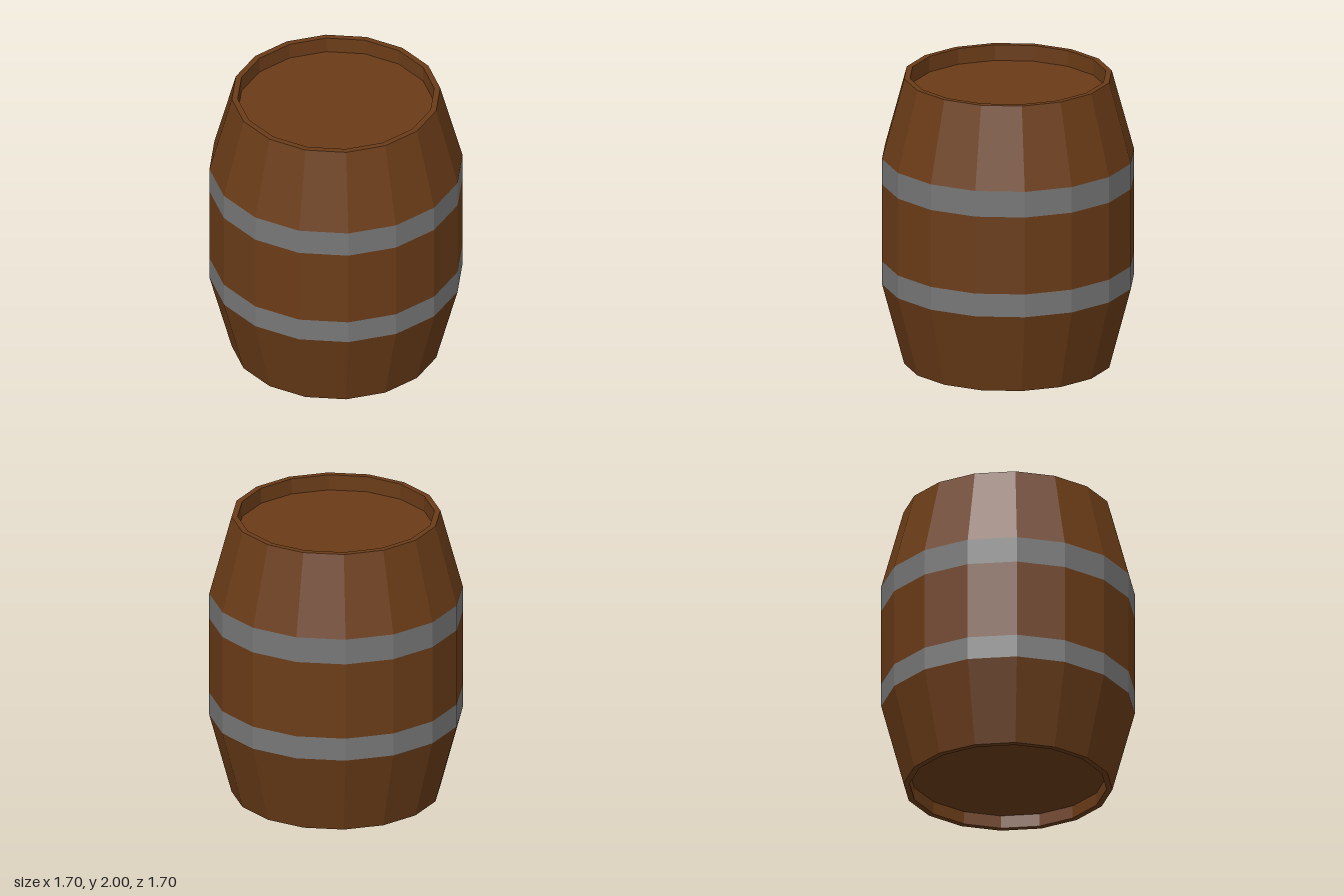
import * as THREE from 'three';

const SIDES = 16;

export function createModel() {
  const barrel = new THREE.Group();
  barrel.name = 'barrel';

  const wood = new THREE.MeshStandardMaterial({ color: 0x6b3c18, flatShading: true });
  const iron = new THREE.MeshStandardMaterial({ color: 0x777777, flatShading: true });

  // Faceted ring turned from [radius, height] points, listed bottom to top
  const turn = (name, material, profile) => {
    const points = profile.map(([r, y]) => new THREE.Vector2(r, y));
    const mesh = new THREE.Mesh(new THREE.LatheGeometry(points, SIDES), material);
    mesh.name = name;
    barrel.add(mesh);
  };

  const rim = 0.7, inner = 0.66, belly = 0.85;

  // Tapered staves with rim lip and recess wall
  turn('lowerStaves', wood, [[inner, 0.09], [inner, 0], [rim, 0], [belly, 0.565]]);
  turn('middleStaves', wood, [[belly, 0.725], [belly, 1.265]]);
  turn('upperStaves', wood, [[belly, 1.445], [rim, 2], [inner, 2], [inner, 1.89]]);

  // Hoops lie flush with the staves
  turn('lowerHoop', iron, [[belly, 0.565], [belly, 0.725]]);
  turn('upperHoop', iron, [[belly, 1.265], [belly, 1.445]]);

  // Recessed lids, facing down and up
  for (const [name, y, tilt] of [['bottomLid', 0.09, 1], ['topLid', 1.89, -1]]) {
    const lid = new THREE.Mesh(new THREE.CircleGeometry(inner, SIDES), wood);
    lid.name = name;
    lid.rotation.x = tilt * Math.PI / 2;
    lid.position.y = y;
    barrel.add(lid);
  }

  return barrel;
}
